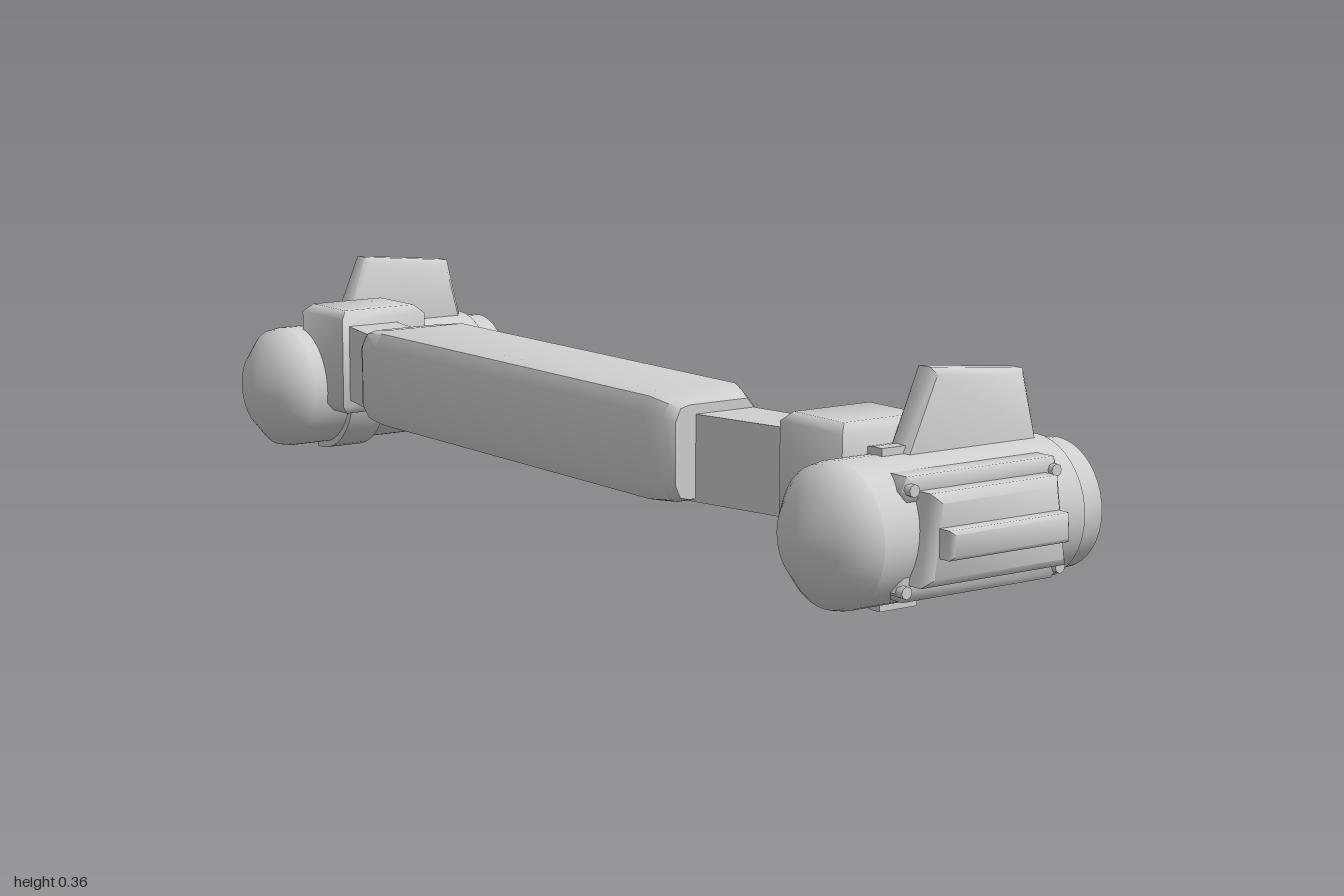
import * as THREE from 'three';
import { toCreasedNormals } from 'three/addons/utils/BufferGeometryUtils.js';

const metal = new THREE.MeshStandardMaterial({ color: 0xcfcfcf });
metal.name = 'light grey metal';

function add(parent, name, geometry) {
  const mesh = new THREE.Mesh(geometry, metal);
  mesh.name = name;
  parent.add(mesh);
  return mesh;
}

// Extruded outline with a soft chamfer kept inside its size; starts at 0, runs along +z
function slab(points, depth, bevel) {
  const shape = new THREE.Shape(points.map(p => new THREE.Vector2(p[0], p[1])));
  const g = new THREE.ExtrudeGeometry(shape, {
    depth: depth - 2 * bevel, bevelEnabled: bevel > 0, bevelSegments: 1,
    bevelSize: bevel, bevelThickness: bevel, bevelOffset: -bevel
  });
  return toCreasedNormals(g, 0.85).translate(0, 0, bevel);
}

// Outline in (z, y), extruded from x0 to x1
const sideSlab = (points, x0, x1, bevel) =>
  slab(points.map(([z, y]) => [-z, y]), x1 - x0, bevel).rotateY(Math.PI / 2).translate(x0, 0, 0);

// Chamfered box given by its limits
const rect = (a0, a1, b0, b1) => [[a0, b0], [a1, b0], [a1, b1], [a0, b1]];
const block = (x0, x1, y0, y1, z0, z1, bevel) =>
  slab(rect(x0, x1, y0, y1), z1 - z0, bevel).translate(0, 0, z0);

// Closed skin over rings that run along +x, each anticlockwise seen from +x
function loft(rings) {
  const pos = [];
  const tri = (...corners) => corners.forEach(c => pos.push(...c));
  const n = rings[0].length;
  for (let i = 0; i + 1 < rings.length; i++) {
    const a = rings[i], b = rings[i + 1];
    for (let j = 0; j < n; j++) {
      const k = (j + 1) % n;
      tri(a[j], a[k], b[k]);
      tri(a[j], b[k], b[j]);
    }
  }
  const first = rings[0], last = rings[rings.length - 1];
  for (let j = 1; j + 1 < n; j++) {
    tri(last[0], last[j], last[j + 1]);
    tri(first[0], first[j + 1], first[j]);
  }
  const g = new THREE.BufferGeometry();
  g.setAttribute('position', new THREE.Float32BufferAttribute(pos, 3));
  return toCreasedNormals(g, 0.85);
}

// Lathe around z, profile given as (radius, z) from rear to front
function turned(profile, cx, cy) {
  const g = new THREE.LatheGeometry(profile.map(p => new THREE.Vector2(p[0], p[1])), 40);
  return toCreasedNormals(g.rotateX(Math.PI / 2), 0.7).translate(cx, cy, 0);
}

// Central beam with rounded front edges, chamfered back and tapered ends
function makeBeam(root) {
  const profile = [[.2, .285], [.222, .28], [.235, .255], [.235, .14], [.222, .115],
    [.2, .11], [.052, .11], [.03, .132], [.03, .263], [.052, .285]];
  const ring = (x, s, back, front) => profile.map(([z, y]) =>
    [x, .1975 + (y - .1975) * s, back + (z - .03) / .205 * (front - back)]);
  add(root, 'centralBeam', loft([
    ring(-.48, .86, .065, .222), ring(-.46, .93, .055, .232), ring(-.41, 1, .03, .235),
    ring(.41, 1, .03, .235), ring(.46, .93, .055, .232), ring(.48, .86, .065, .222)
  ]));

  // Connector on the middle of the back: stepped frame around a slot
  const port = new THREE.Group();
  port.name = 'rearConnector';
  root.add(port);
  add(port, 'connectorBase', block(-.11, .11, .134, .238, -.02, .04, .01));
  for (const y of [.15, .206])
    add(port, 'connectorRail', block(-.085, .085, y, y + .016, -.052, -.01, .003));
  for (const x of [-.085, .069])
    add(port, 'connectorEnd', block(x, x + .016, .15, .222, -.052, -.01, .003));
  add(port, 'connectorCore', block(-.07, .07, .164, .208, -.04, -.01, 0));
}

// Toothed vent on the back of the beam
function makeVent(side) {
  const vent = new THREE.Group();
  vent.name = 'rearVent';
  side.add(vent);
  add(vent, 'ventPlate', block(.24, .38, .165, .23, .014, .04, .006));
  add(vent, 'ventBar', block(.205, .415, .186, .212, .009, .04, .004));
  for (let i = 0; i < 8; i++)
    add(vent, 'ventTooth', block(.246 + i * .0165, .256 + i * .0165, .172, .186, .009, .02, 0));
}

// Armoured panel on the outer flank of a pod
function makePanel(side) {
  const panel = new THREE.Group();
  panel.name = 'sidePanel';
  side.add(panel);
  add(panel, 'upperFlange', sideSlab([[.14, .2], [.132, .182], [-.155, .182], [-.167, .2],
    [-.16, .222], [.13, .222]], .87, .932, .006));
  add(panel, 'lowerFlange', sideSlab([[.15, .05], [.135, .034], [-.16, .034], [-.178, .05],
    [-.165, .085], [.14, .085]], .87, .932, .006));
  add(panel, 'panelCore', sideSlab([[.128, .06], [-.158, .06], [-.138, .2], [.112, .2]],
    .9, .972, .014));
  add(panel, 'panelBar', sideSlab([[.105, .105], [-.13, .105], [-.13, .15], [.105, .15]],
    .95, 1, .006));
  for (const [z, y] of [[.127, .203], [-.153, .203], [.139, .052], [-.165, .052]]) {
    const bolt = add(panel, 'bolt', new THREE.CylinderGeometry(.01, .01, .05, 8));
    bolt.rotation.z = Math.PI / 2;
    bolt.position.set(.916, y, z);
  }
}

// Arm, joint and pod of one side
function makeSide(name, sign) {
  const side = new THREE.Group();
  side.name = name;
  side.scale.x = sign;

  const armRing = (x, z0, z1) => [[x, .257, z1], [x, .117, z1], [x, .117, z0], [x, .257, z0]];
  add(side, 'arm', loft([armRing(.46, .072, .187), armRing(.68, .035, .138)]));

  // Joint block with chamfered top and bottom
  add(side, 'joint', slab(rect(.66, .81, -.157, .022), .195, .015)
    .rotateX(-Math.PI / 2).translate(0, .09, 0));
  add(side, 'jointBrace', sideSlab([[.02, .13], [-.05, .13], [-.1, .16], [-.1, .185],
    [-.05, .215], [.02, .215]], .72, .79, .01));

  const cx = .832, cy = .125;
  add(side, 'podBody', turned([[0, -.255], [.103, -.255], [.103, -.21], [.113, -.21],
    [.113, .185]], cx, cy));
  add(side, 'podNose', turned([[.113, .185], [.109, .206], [.072, .24], [0, .255]], cx, cy));

  // Clamp strap round the inner half of the pod
  const strap = [];
  for (let i = 0; i <= 20; i++) {
    const a = Math.PI * (.47 + 1.06 * i / 20);
    strap.push([cx + .125 * Math.cos(a), cy + .125 * Math.sin(a)]);
  }
  add(side, 'podClamp', slab(strap, .073, 0).translate(0, 0, .036));

  add(side, 'fin', sideSlab([[.075, .225], [.016, .363], [-.17, .345], [-.2, .225]],
    .806, .852, .01));
  makePanel(side);
  makeVent(side);
  return side;
}

export function createModel() {
  const root = new THREE.Group();
  root.name = 'twinPodBeam';
  makeBeam(root);
  root.add(makeSide('leftSide', 1), makeSide('rightSide', -1));
  return root;
}
